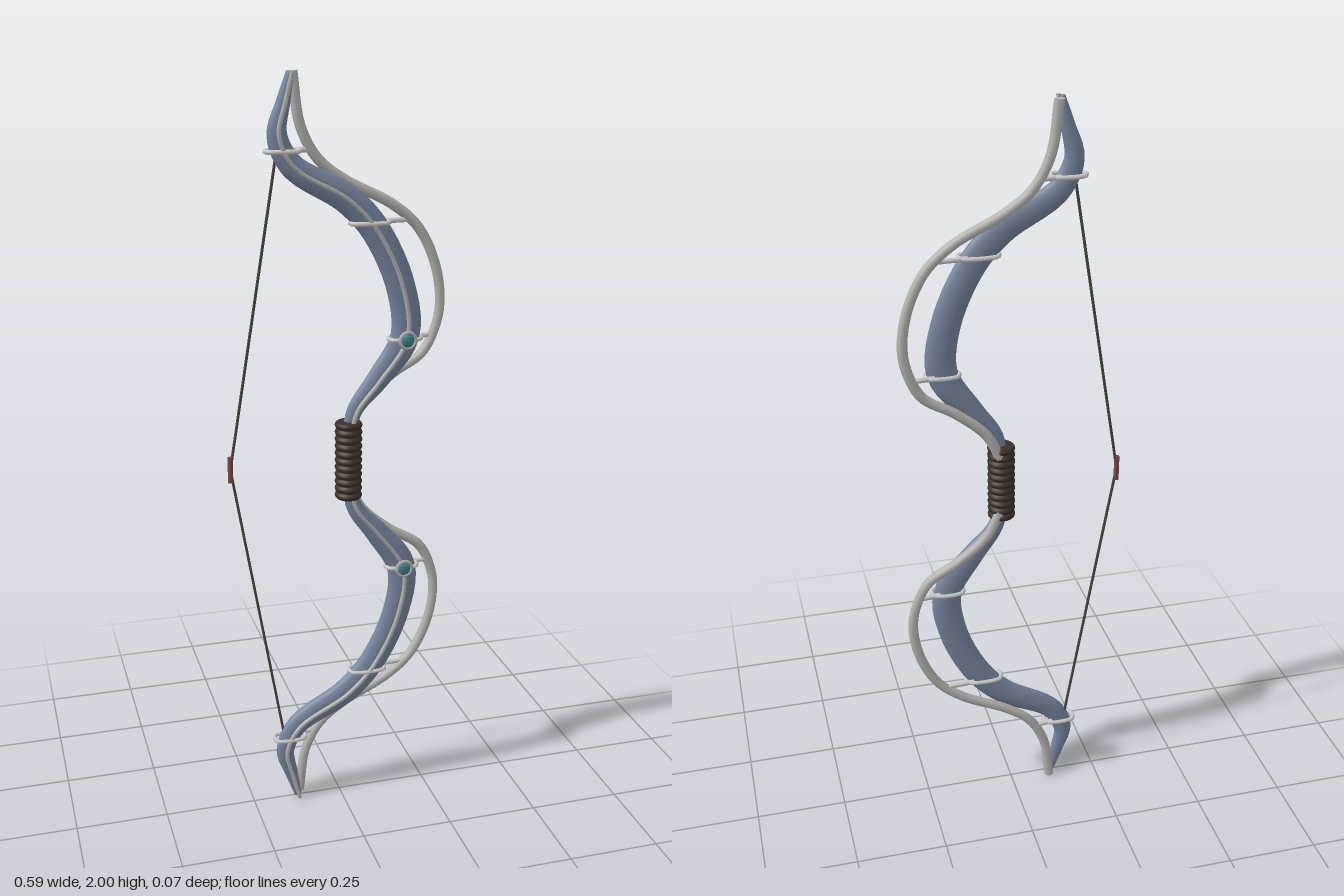
import * as THREE from 'three';

const mat = (color, o = {}) => new THREE.MeshStandardMaterial({ color, ...o });
const V = (x, y, z = 0) => new THREE.Vector3(x, y, z);

// upper limb: x, y, half width
const LIMB = [[0.025, 1.07, 0.018], [0.045, 1.14, 0.022], [0.105, 1.215, 0.031], [0.178, 1.325, 0.04], [0.165, 1.46, 0.039],
  [0.095, 1.61, 0.038], [0.02, 1.69, 0.037], [-0.12, 1.775, 0.031], [-0.157, 1.85, 0.026], [-0.14, 1.93, 0.018], [-0.122, 2, 0.01]];
// upper back rail: x, y
const RAIL = [[0.035, 1.08], [0.07, 1.15], [0.15, 1.22], [0.235, 1.275], [0.272, 1.35], [0.281, 1.42], [0.262, 1.52],
  [0.215, 1.61], [0.145, 1.67], [0.02, 1.735], [-0.05, 1.79], [-0.093, 1.87], [-0.112, 2]];

function add(group, name, geometry, material) {
  const mesh = new THREE.Mesh(geometry, material);
  mesh.name = name;
  group.add(mesh);
  return mesh;
}

// straight rod between two points
function rod(a, b, r, sides = 8) {
  const d = b.clone().sub(a);
  const g = new THREE.CylinderGeometry(r, r, d.length(), sides);
  g.applyQuaternion(new THREE.Quaternion().setFromUnitVectors(V(0, 1, 0), d.normalize()));
  return g.translate((a.x + b.x) / 2, (a.y + b.y) / 2, (a.z + b.z) / 2);
}

// tube with closed ends
function cappedTube(group, name, points, r, sides, material) {
  const curve = new THREE.CatmullRomCurve3(points);
  add(group, name, new THREE.TubeGeometry(curve, 64, r, sides), material);
  const end = points.reduce((p, q) => (Math.abs(q.y - 1) > Math.abs(p.y - 1) ? q : p));
  const cap = add(group, name + 'End', new THREE.CylinderGeometry(r, r, 0.004, sides), material);
  cap.position.copy(end).y += end.y > 1 ? -0.002 : 0.002;
}

// sweep of a flattened oval; the curve's z carries the half width
function limbGeometry(points) {
  const curve = new THREE.CatmullRomCurve3(points);
  const N = 56, S = 16, pos = [], idx = [];
  for (let i = 0; i <= N; i++) {
    const p = curve.getPoint(i / N);
    const t = curve.getTangent(i / N).setZ(0).normalize();
    const depth = Math.min(0.02, 0.006 + p.z * 0.4);
    for (let j = 0; j < S; j++) {
      const a = (j / S) * Math.PI * 2, c = Math.cos(a) * p.z;
      pos.push(p.x - t.y * c, p.y + t.x * c, Math.sin(a) * depth);
    }
  }
  for (let i = 0; i < N; i++) for (let j = 0; j < S; j++) {
    const k = (j + 1) % S, a = i * S + j, b = i * S + k;
    idx.push(a, b, a + S, b, b + S, a + S);
  }
  for (let j = 1; j < S - 1; j++) {
    idx.push(0, j + 1, j, N * S, N * S + j, N * S + j + 1);
  }
  const g = new THREE.BufferGeometry();
  g.setAttribute('position', new THREE.Float32BufferAttribute(pos, 3));
  g.setIndex(idx);
  g.computeVertexNormals();
  return g;
}

export function createModel() {
  const model = new THREE.Group();
  model.name = 'bow';
  const steel = mat(0x7886a0), silver = mat(0xb4b4b2), pale = mat(0xd2d4d6);
  const leather = mat(0x3d3029), cord = mat(0x4a4542), red = mat(0x7d4644), teal = mat(0x3c8288, { flatShading: true });

  for (const s of [1, -1]) {
    const half = new THREE.Group();
    half.name = s > 0 ? 'upperLimb' : 'lowerLimb';
    model.add(half);
    const Y = (y) => 1 + s * (y - 1);

    // limb blade, slim front rib and outer back rail
    add(half, 'limbBlade', limbGeometry(LIMB.map(([x, y, w]) => V(x, Y(y), w))), steel);
    cappedTube(half, 'frontRib', LIMB.map(([x, y]) => V(x, Y(y), 0.023)), 0.006, 6, silver);
    cappedTube(half, 'backRail', RAIL.map(([x, y]) => V(x, Y(y), -0.022)), 0.0135, 8, silver);

    // bands around the blade with struts to the rail: y, blade span, rail x
    for (const [y, x0, x1, xr] of [[1.322, 0.135, 0.222, 0.262], [1.628, 0.03, 0.132, 0.198], [1.812, -0.187, -0.1, -0.07]]) {
      const loop = [];
      const cx = (x0 + x1) / 2, rx = (x1 - x0) / 2;
      for (let i = 0; i < 12; i++) {
        const a = (i / 12) * Math.PI * 2, c = Math.cos(a), q = Math.sin(a);
        loop.push(V(cx + rx * c, Y(y), 0.025 * Math.sign(q) * Math.sqrt(Math.abs(q)) - 0.001));
      }
      add(half, 'band', new THREE.TubeGeometry(new THREE.CatmullRomCurve3(loop, true), 36, 0.006, 6, true), pale);
      add(half, 'strut', rod(V(x1 - 0.02, Y(y), -0.016), V(xr, Y(y), -0.022), 0.007), pale);
    }

    // gem in a round setting
    const setting = add(half, 'gemSetting', new THREE.TorusGeometry(0.021, 0.005, 6, 20), silver);
    setting.position.set(0.178, Y(1.322), 0.028);
    const gem = add(half, 'gem', new THREE.SphereGeometry(0.019, 10, 6), teal);
    gem.scale.z = 0.5;
    gem.position.set(0.178, Y(1.322), 0.028);

    // drawn string
    add(half, 'string', rod(V(-0.293, 1, -0.004), V(-0.16, Y(1.8), -0.004), 0.0038, 6), cord);
  }

  // wrapped grip with rounded turns
  const profile = [new THREE.Vector2(0, -0.108)], turns = 11;
  for (let i = 0; i < turns; i++) for (const [f, r] of [[0.04, 0.031], [0.25, 0.0355], [0.5, 0.037], [0.75, 0.0355], [0.96, 0.031]]) {
    profile.push(new THREE.Vector2(r, -0.108 + ((i + f) / turns) * 0.216));
  }
  profile.push(new THREE.Vector2(0, 0.108));
  add(model, 'grip', new THREE.LatheGeometry(profile, 20), leather).position.set(0.026, 1, 0);

  // serving at the middle of the string
  add(model, 'stringServing', new THREE.CylinderGeometry(0.007, 0.007, 0.07, 10), red).position.set(-0.293, 1, -0.004);
  return model;
}
